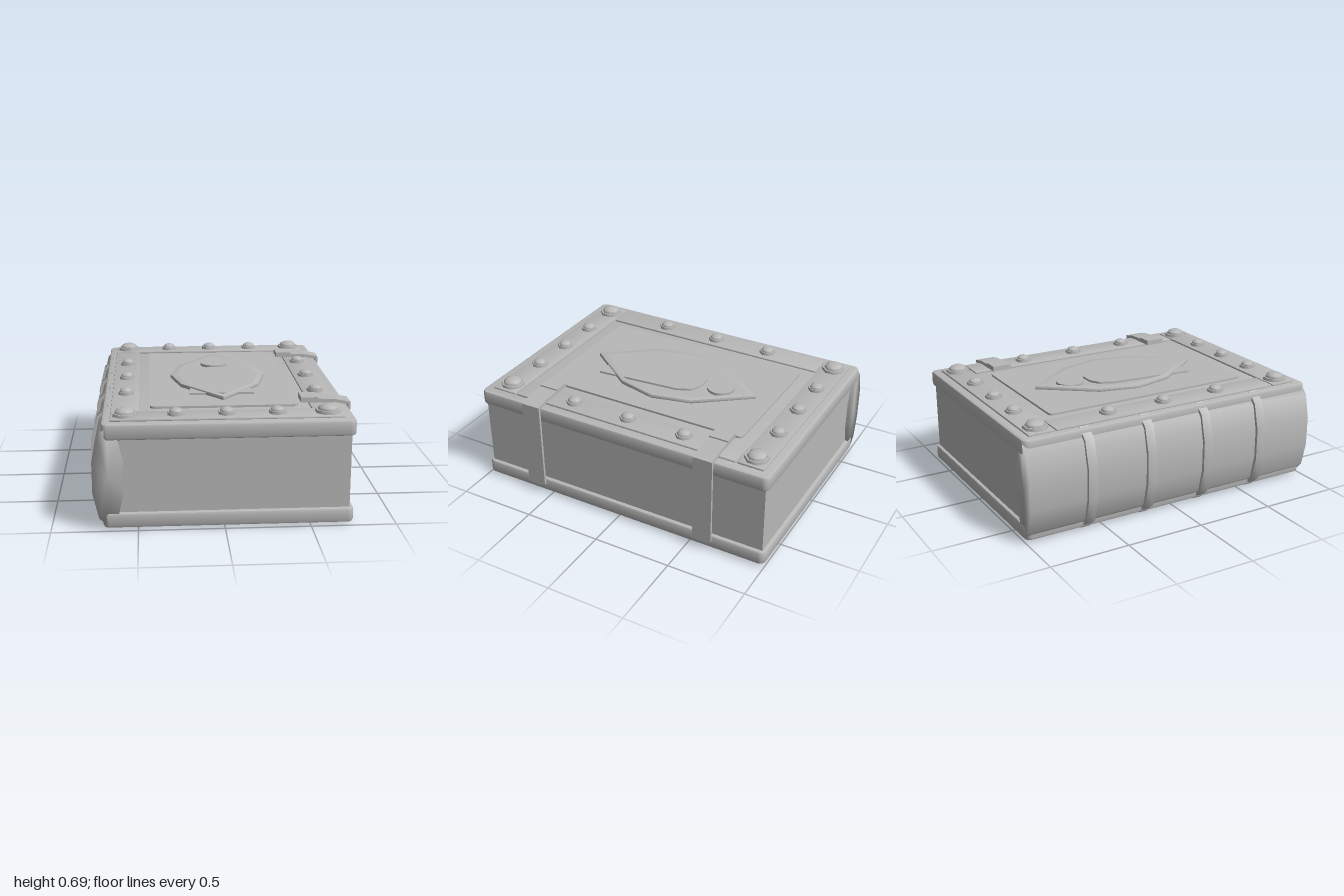
import * as THREE from 'three';
import { mergeVertices, toCreasedNormals } from 'three/addons/utils/BufferGeometryUtils.js';

const grey = new THREE.MeshStandardMaterial({ color: 0xb8b8b8 });
grey.name = 'grey';

export function createModel() {
  const book = new THREE.Group();
  book.name = 'book';

  const add = (name, geometry, x = 0, y = 0, z = 0) => {
    const mesh = new THREE.Mesh(geometry, grey);
    mesh.name = name;
    mesh.position.set(x, y, z);
    book.add(mesh);
    return mesh;
  };

  // Horizontal plate from an (x, z) shape, lying between y0 and y1
  const plate = (name, shape, y0, y1, bevel = 0) => {
    const g = new THREE.ExtrudeGeometry(shape, {
      depth: y1 - y0 - 2 * bevel, bevelEnabled: bevel > 0, bevelSize: bevel,
      bevelThickness: bevel, bevelOffset: -bevel, bevelSegments: 2, curveSegments: 4,
    });
    g.rotateX(-Math.PI / 2).translate(0, y0 + bevel, 0);
    return add(name, toCreasedNormals(g, 0.6));
  };
  const outline = (pts) => new THREE.Shape(pts.map(([x, z]) => new THREE.Vector2(x, -z)));
  const roundedRect = (x0, x1, z0, z1, r) => {
    const s = new THREE.Shape();
    s.absarc(x1 - r, -z0 - r, r, 0, Math.PI / 2);
    s.absarc(x0 + r, -z0 - r, r, Math.PI / 2, Math.PI);
    s.absarc(x0 + r, -z1 + r, r, Math.PI, Math.PI * 1.5);
    s.absarc(x1 - r, -z1 + r, r, Math.PI * 1.5, Math.PI * 2);
    return s;
  };

  // Covers and page block
  plate('bottomCover', roundedRect(-0.7, 0.75, -1, 0.995, 0.04), 0.015, 0.105, 0.015);
  plate('topCover', roundedRect(-0.7, 0.75, -1, 0.995, 0.04), 0.54, 0.635, 0.015);
  add('pages', new THREE.BoxGeometry(1.365, 0.46, 1.95), 0.0425, 0.32, -0.003);

  // Ten-sided oval spine with softly shaded ends, and its raised bands
  const oval = (rx, ry, length) => {
    const g = new THREE.CylinderGeometry(1, 1, length, 10);
    return g.rotateX(Math.PI / 2).scale(rx, ry, 1);
  };
  let spine = oval(0.093, 0.3, 1.985);
  spine.deleteAttribute('normal');
  spine.deleteAttribute('uv');
  spine = mergeVertices(spine);
  spine.computeVertexNormals();
  add('spine', spine, -0.668, 0.32, -0.004);
  for (const z of [-0.6, -0.2, 0.2, 0.6]) {
    add('spineBand', toCreasedNormals(oval(0.113, 0.32, 0.06), 0.9), -0.668, 0.32, z - 0.003);
  }

  // Raised border strips and centre panel
  plate('borderBack', roundedRect(-0.65, 0.69, -0.945, -0.777, 0.008), 0.63, 0.647, 0.006);
  plate('borderFront', roundedRect(-0.65, 0.69, 0.77, 0.937, 0.008), 0.63, 0.647, 0.006);
  plate('borderSpineSide', roundedRect(-0.65, -0.483, -0.77, 0.763, 0.008), 0.63, 0.647, 0.006);
  plate('borderClaspSide', roundedRect(0.523, 0.69, -0.77, 0.763, 0.008), 0.63, 0.647, 0.006);
  plate('centrePanel', roundedRect(-0.42, 0.455, -0.695, 0.688, 0.03), 0.63, 0.648);

  // Pointed oval frame
  const pointedOval = (w, w2, h) => [[0, -h], [w2, -0.25], [w, 0], [w2, 0.25],
    [0, h], [-w2, 0.25], [-w, 0], [-w2, -0.25]].map(([x, z]) => [x + 0.02, z - 0.003]);
  const frame = outline(pointedOval(0.305, 0.245, 0.575));
  frame.holes.push(outline(pointedOval(0.274, 0.217, 0.535)));
  plate('ovalFrame', frame, 0.64, 0.671, 0.009);

  // Simple figure inside the frame
  plate('figureBody', outline([[-0.03, -0.215], [0.065, -0.215], [0.13, -0.18], [0.168, -0.095],
    [0.216, 0.443], [-0.18, 0.443], [-0.13, -0.095], [-0.09, -0.18]]), 0.64, 0.661);
  add('figureHead', new THREE.CylinderGeometry(0.088, 0.088, 0.025, 20), 0.018, 0.6525, -0.335);

  // Domed rivets on eight-sided washers
  const rivet = (x, z, r, top) => {
    const base = 0.664;
    const washer = new THREE.CylinderGeometry(r * 0.95, r, base - 0.64, 8);
    washer.rotateY(Math.PI / 8);
    add('rivetWasher', washer, x, (base + 0.64) / 2, z);
    const dome = new THREE.SphereGeometry(1, 8, 3, 0, Math.PI * 2, 0, Math.PI / 2);
    dome.rotateY(Math.PI / 8).scale(r * 0.8, top - base, r * 0.8);
    add('rivetDome', dome, x, base, z);
  };
  for (const x of [-0.565, 0.602]) {
    for (const z of [-0.862, 0.85]) rivet(x, z, 0.077, 0.695);
    for (const z of [-0.388, -0.004, 0.381]) rivet(x, z, 0.053, 0.688);
  }
  for (const x of [-0.273, 0.018, 0.31]) {
    for (const z of [-0.862, 0.85]) rivet(x, z, 0.053, 0.688);
  }

  // Clasps: a block on the cover, a sloping strap and a hanging tongue
  const strapProfile = new THREE.Shape([[0.56, 0.645], [0.69, 0.645], [0.755, 0.632],
    [0.772, 0.632], [0.772, 0.648], [0.69, 0.665], [0.56, 0.672]].map((p) => new THREE.Vector2(...p)));
  const tongue = new THREE.Shape([[-0.062, 0.64], [-0.062, 0.075], [-0.03, 0.062], [0.03, 0.062],
    [0.062, 0.075], [0.062, 0.64]].map((p) => new THREE.Vector2(...p)));
  for (const z of [-0.6, 0.595]) {
    add('claspBlock', new THREE.BoxGeometry(0.1, 0.032, 0.124), 0.525, 0.664, z);
    add('claspStrap', new THREE.ExtrudeGeometry(strapProfile, { depth: 0.124, bevelEnabled: false }), 0, 0, z - 0.062);
    const g = new THREE.ExtrudeGeometry(tongue, { depth: 0.016, bevelEnabled: false });
    add('claspTongue', g.rotateY(Math.PI / 2), 0.756, 0, z);
  }

  return book;
}
